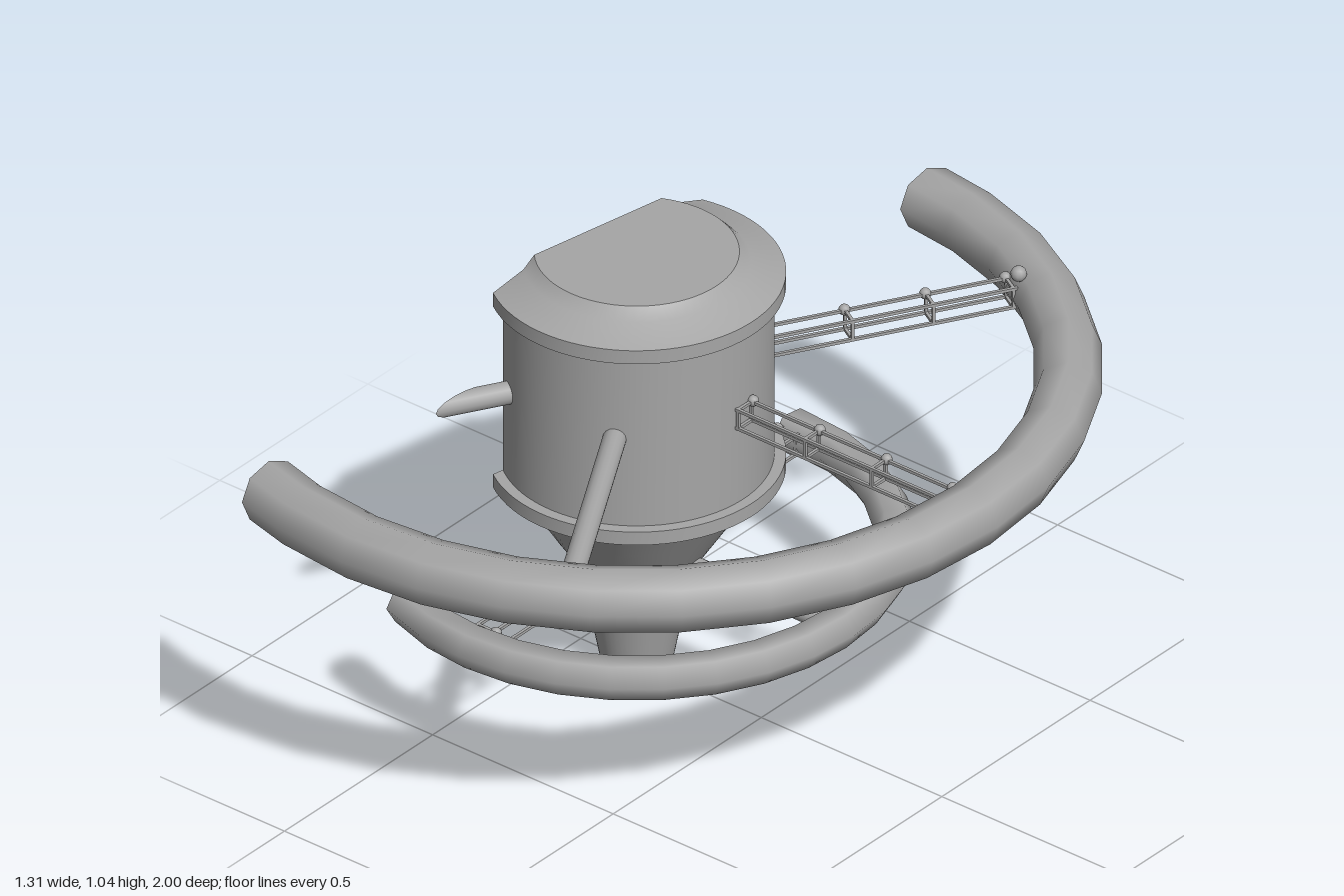
import * as THREE from 'three';
import { mergeVertices } from 'three/addons/utils/BufferGeometryUtils.js';

// Everything turns about one vertical axis and is sliced by one vertical plane:
// the plane's normal points at angle PHI and it lies CUT behind the axis.
const PHI = 0.188, CUT = 0.13;
const half = (rho) => (rho > CUT ? Math.acos(-CUT / rho) : Math.PI);
const polar = (rho, y, a) => [rho * Math.cos(a), y, rho * Math.sin(a)];

function toGeometry(positions, index) {
  let g = new THREE.BufferGeometry();
  g.setAttribute('position', new THREE.Float32BufferAttribute(positions, 3));
  g.setIndex(index);
  g = mergeVertices(g, 1e-5);
  g.computeVertexNormals();
  return g;
}

// Sweeps a profile of [radius, y] points; angleAt(radius, k) gives the angle of step k
function sweep(profile, steps, angleAt) {
  const pos = [], idx = [], n = profile.length;
  for (let k = 0; k <= steps; k++) {
    for (const [rho, y] of profile) pos.push(...polar(rho, y, angleAt(rho, k)));
  }
  for (let k = 0; k < steps; k++) {
    for (let j = 0; j < n - 1; j++) {
      const a = k * n + j, b = a + n;
      idx.push(a, a + 1, b, a + 1, b + 1, b);
    }
  }
  return toGeometry(pos, idx);
}

export function createModel() {
  const grey = new THREE.MeshStandardMaterial({ color: 0xa6a6a6 });
  grey.name = 'hullGrey';
  const model = new THREE.Group();
  model.name = 'station';
  const add = (parent, geometry, name) => {
    const m = new THREE.Mesh(geometry, grey);
    m.name = name;
    parent.add(m);
    return m;
  };

  // Hull: one smooth strip per profile section, creased between sections
  const hull = new THREE.Group();
  hull.name = 'hull';
  model.add(hull);
  const sections = [
    ['hullBase', [[0, 0], [0.075, 0]]],
    ['lowerCone', [[0.075, 0], [0.125, 0.26]]],
    ['upperCone', [[0.125, 0.26], [0.13, 0.268], [0.135, 0.276], [0.15, 0.299],
      [0.18, 0.346], [0.22, 0.409], [0.265, 0.48]]],
    ['lowerFlangeUnderside', [[0.265, 0.48], [0.32, 0.5]]],
    ['lowerFlange', [[0.32, 0.5], [0.32, 0.533]]],
    ['lowerFlangeTop', [[0.32, 0.533], [0.295, 0.533]]],
    ['drum', [[0.295, 0.533], [0.295, 0.958]]],
    ['upperFlangeUnderside', [[0.295, 0.958], [0.32, 0.958]]],
    ['upperFlange', [[0.32, 0.958], [0.32, 0.992]]],
    ['roofSlope', [[0.32, 0.992], [0.245, 1.017], [0.22, 1.042]]],
    ['roof', [[0.22, 1.042], [CUT, 1.042], [0, 1.042]]],
  ];
  const STEPS = 48;
  for (const [name, profile] of sections) {
    add(hull, sweep(profile, STEPS, (rho, k) => PHI + half(rho) * (2 * k / STEPS - 1)), name);
  }

  // Flat wall where the hull is sliced
  const rows = sections.flatMap((s) => s[1]).filter(([rho]) => rho >= CUT);
  const wallPos = [], wallIdx = [];
  rows.forEach(([rho, y], i) => {
    wallPos.push(...polar(rho, y, PHI - half(rho)), ...polar(rho, y, PHI + half(rho)));
    if (i) {
      const a = 2 * i - 2;
      wallIdx.push(a, a + 1, a + 3, a, a + 3, a + 2);
    }
  });
  add(hull, toGeometry(wallPos, wallIdx), 'slicedWall');

  // Ring of few-sided tube, with both ends sliced by the plane
  function ring(name, R, y, r, sides, segments) {
    const group = new THREE.Group();
    group.name = name;
    model.add(group);
    const profile = [];
    for (let j = 0; j <= sides; j++) {
      const p = (j / sides) * Math.PI * 2;
      profile.push([R + r * Math.cos(p), y + r * Math.sin(p)]);
    }
    const step = (Math.PI * 2) / segments, inner = [];
    for (let i = -segments; i <= segments; i++) {
      if (Math.abs(i * step - PHI) < half(R + r) - 0.03) inner.push(i * step);
    }
    const last = inner.length + 1;
    const angleAt = (rho, k) => (k === 0 ? PHI - half(rho) : k === last ? PHI + half(rho) : inner[k - 1]);
    add(group, sweep(profile, last, angleAt), name + 'Tube');
    for (const s of [-1, 1]) {
      const pos = profile.slice(0, sides).flatMap(([rho, h]) => polar(rho, h, PHI + s * half(rho)));
      const idx = [];
      for (let j = 1; j < sides - 1; j++) idx.push(0, s > 0 ? j : j + 1, s > 0 ? j + 1 : j);
      add(group, toGeometry(pos, idx), name + 'End');
    }
  }
  ring('outerRing', 0.927, 0.745, 0.074, 8, 32);
  ring('innerRing', 0.556, 0.312, 0.048, 6, 32);

  // Arm group whose local +x runs outward from the axis and local +z sideways
  function arm(name, angle, y) {
    const g = new THREE.Group();
    g.name = name;
    g.rotation.y = -angle;
    g.position.y = y;
    model.add(g);
    return g;
  }

  // Round tube spoke; a sliced one has its outer end moved onto the plane
  function tubeSpoke(name, angle, y, from, to, r, sliced) {
    const g = new THREE.CylinderGeometry(r, r, to - from, 16);
    g.rotateZ(-Math.PI / 2);
    g.translate((from + to) / 2, 0, 0);
    if (sliced) {
      const p = g.attributes.position, d = angle - PHI;
      for (let i = 0; i < p.count; i++) {
        if (p.getX(i) > (from + to) / 2) p.setX(i, (-CUT + p.getZ(i) * Math.sin(d)) / Math.cos(d));
      }
    }
    add(arm(name, angle, y), g, name + 'Tube');
  }
  tubeSpoke('outerSpoke', Math.PI / 3, 0.75, 0.27, 0.9, 0.026, false);
  tubeSpoke('slicedSpoke', (2 * Math.PI) / 3, 0.75, 0.25, 0.4, 0.026, true);
  tubeSpoke('innerSpoke', 0, 0.312, 0.12, 0.54, 0.02, false);

  // Truss spoke: four rails, square frames and a ball on each frame
  function truss(name, angle, y, from, to, stations) {
    const g = arm(name, angle, y), h = 0.023, w = 0.007;
    for (const s of [-1, 1]) {
      for (const t of [-1, 1]) {
        add(g, new THREE.BoxGeometry(to - from, w, w), 'rail').position.set((from + to) / 2, s * h, t * h);
      }
      for (const x of stations) {
        add(g, new THREE.BoxGeometry(w, w, 2 * h), 'crossBar').position.set(x, s * h, 0);
        add(g, new THREE.BoxGeometry(w, 2 * h, w), 'post').position.set(x, 0, s * h);
      }
    }
    for (const x of stations) {
      add(g, new THREE.SphereGeometry(0.013, 12, 8), 'ball').position.set(x, h, -h - 0.004);
    }
    return g;
  }
  const outer = [0.3, 0.485, 0.67, 0.853], inner = [0.22, 0.365, 0.508];
  truss('sideTruss', 0, 0.748, 0.28, 0.87, outer);
  const backTruss = truss('backTruss', -Math.PI / 3, 0.748, 0.28, 0.87, outer);
  add(backTruss, new THREE.SphereGeometry(0.018, 12, 8), 'endBall').position.set(0.866, 0.057, 0.02);
  for (const s of [-1, 1]) truss('innerTruss', (s * Math.PI) / 2, 0.312, 0.13, 0.52, inner);

  model.children.forEach((c) => { c.position.x = -0.345; });
  return model;
}
